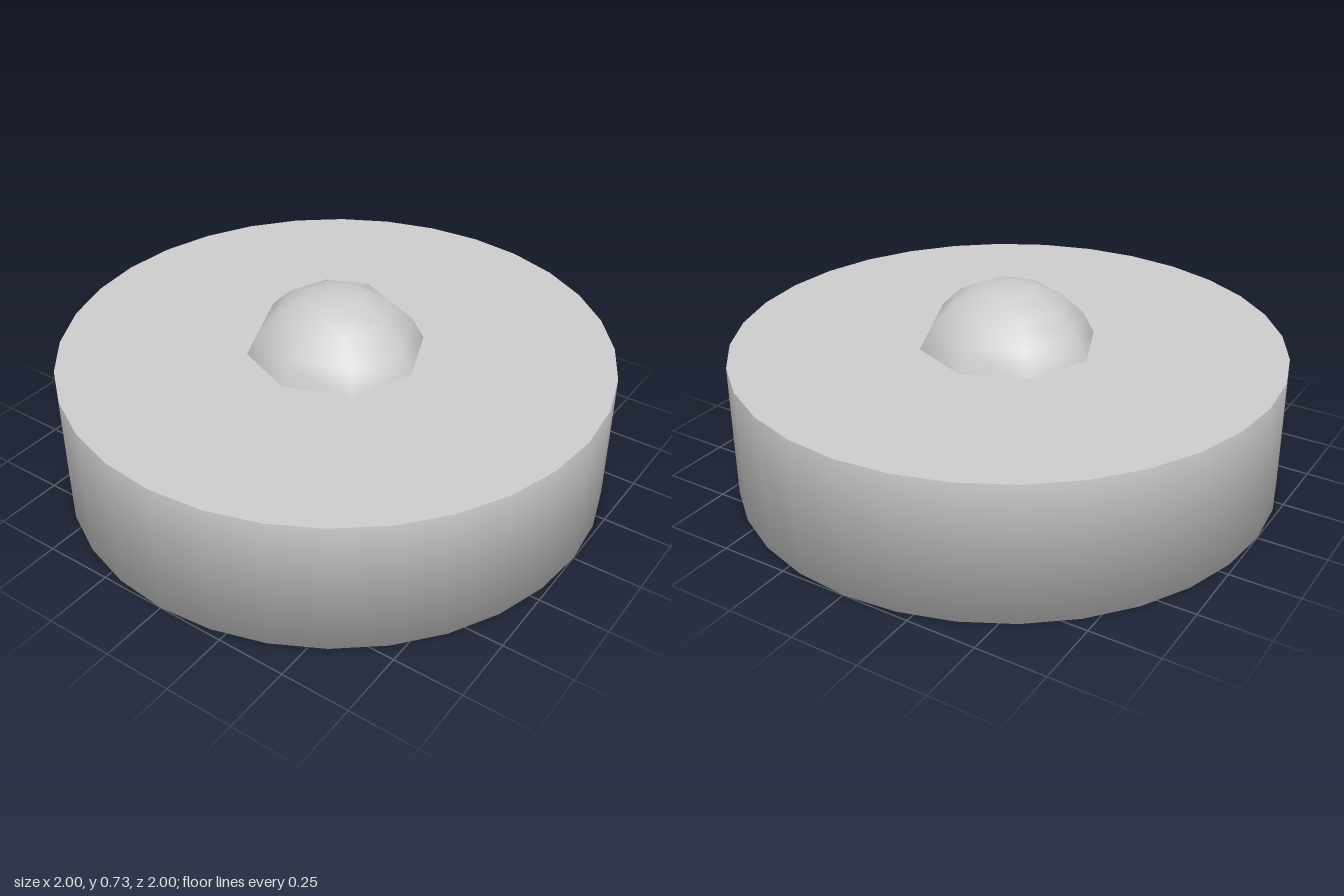
import * as THREE from 'three';

const SIDES = 32;
const TOP = 0.5;

export function createModel() {
  const group = new THREE.Group();
  const material = new THREE.MeshStandardMaterial({ color: 0xcccccc });

  const add = (name, geometry, y = 0) => {
    const mesh = new THREE.Mesh(geometry, material);
    mesh.name = name;
    mesh.position.y = y;
    group.add(mesh);
  };

  // Round base: underside and wall share softened normals, with a small lip tucked under the top
  const profile = [[0, 0], [1, 0], [1, TOP], [0.98, TOP - 0.002]].map(([r, y]) => new THREE.Vector2(r, y));
  add('base', new THREE.LatheGeometry(profile, SIDES));

  // Flat top with a crisp rim
  add('topPlate', new THREE.CircleGeometry(1, SIDES).rotateX(-Math.PI / 2), TOP);

  // Eight-sided smooth dome, its lowest ring sunk just below the top
  const dome = new THREE.SphereGeometry(0.347, 8, 4, 0, Math.PI * 2, 0, Math.PI * 0.4);
  add('domeButton', dome, 0.378);

  return group;
}
